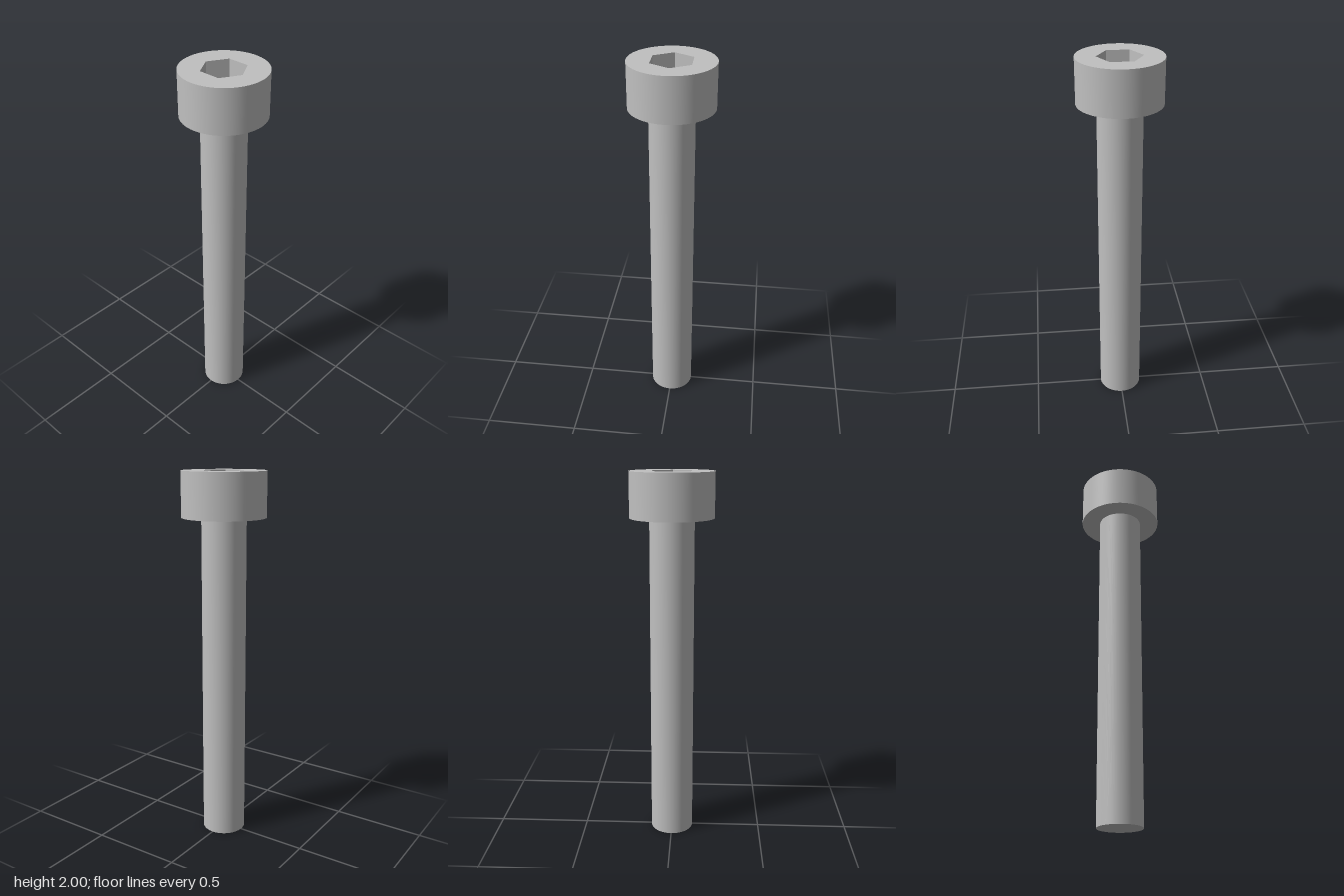
import * as THREE from 'three';

const SEGMENTS = 96;
const HEAD_R = 0.2206, SHANK_R = 0.1176;
const HEAD_BOTTOM = 1.765, TOP = 2;
const HEX_R = 0.1165, SOCKET_DEPTH = 0.12;

export function createModel() {
  const model = new THREE.Group();
  model.name = 'socketHeadBolt';
  const steel = new THREE.MeshStandardMaterial({ color: 0xc0c0c0 });
  steel.name = 'steel grey';

  const add = (name, geometry, parent = model) => {
    const mesh = new THREE.Mesh(geometry, steel);
    mesh.name = name;
    parent.add(mesh);
    return mesh;
  };

  // Plain cylindrical shank, ending flush under the head
  add('shank', new THREE.CylinderGeometry(SHANK_R, SHANK_R, HEAD_BOTTOM, SEGMENTS)
    .translate(0, HEAD_BOTTOM / 2, 0));

  // Head: side wall, underside ring and top face with a hexagonal opening
  const head = new THREE.Group();
  head.name = 'head';
  model.add(head);
  const headHeight = TOP - HEAD_BOTTOM;
  add('headSide', new THREE.CylinderGeometry(HEAD_R, HEAD_R, headHeight, SEGMENTS, 1, true)
    .translate(0, HEAD_BOTTOM + headHeight / 2, 0), head);
  add('headUnderside', new THREE.RingGeometry(SHANK_R, HEAD_R, SEGMENTS)
    .rotateX(Math.PI / 2).translate(0, HEAD_BOTTOM, 0), head);

  const hexPoints = Array.from({ length: 6 }, (_, i) => {
    const a = i * Math.PI / 3;
    return new THREE.Vector2(HEX_R * Math.cos(a), HEX_R * Math.sin(a));
  });
  const topFace = new THREE.Shape().absarc(0, 0, HEAD_R, 0, Math.PI * 2);
  topFace.holes.push(new THREE.Path(hexPoints));
  add('headTop', new THREE.ShapeGeometry(topFace, SEGMENTS)
    .rotateX(-Math.PI / 2).translate(0, TOP, 0), head);

  // Hex socket: six inward-facing walls and a flat floor
  const socket = new THREE.Group();
  socket.name = 'hexSocket';
  head.add(socket);
  const apothem = HEX_R * Math.cos(Math.PI / 6);
  for (let i = 0; i < 6; i++) {
    add('socketWall', new THREE.PlaneGeometry(HEX_R, SOCKET_DEPTH)
      .translate(0, TOP - SOCKET_DEPTH / 2, -apothem)
      .rotateY(i * Math.PI / 3), socket);
  }
  add('socketFloor', new THREE.CircleGeometry(HEX_R, 6)
    .rotateX(-Math.PI / 2).translate(0, TOP - SOCKET_DEPTH, 0), socket);

  return model;
}
